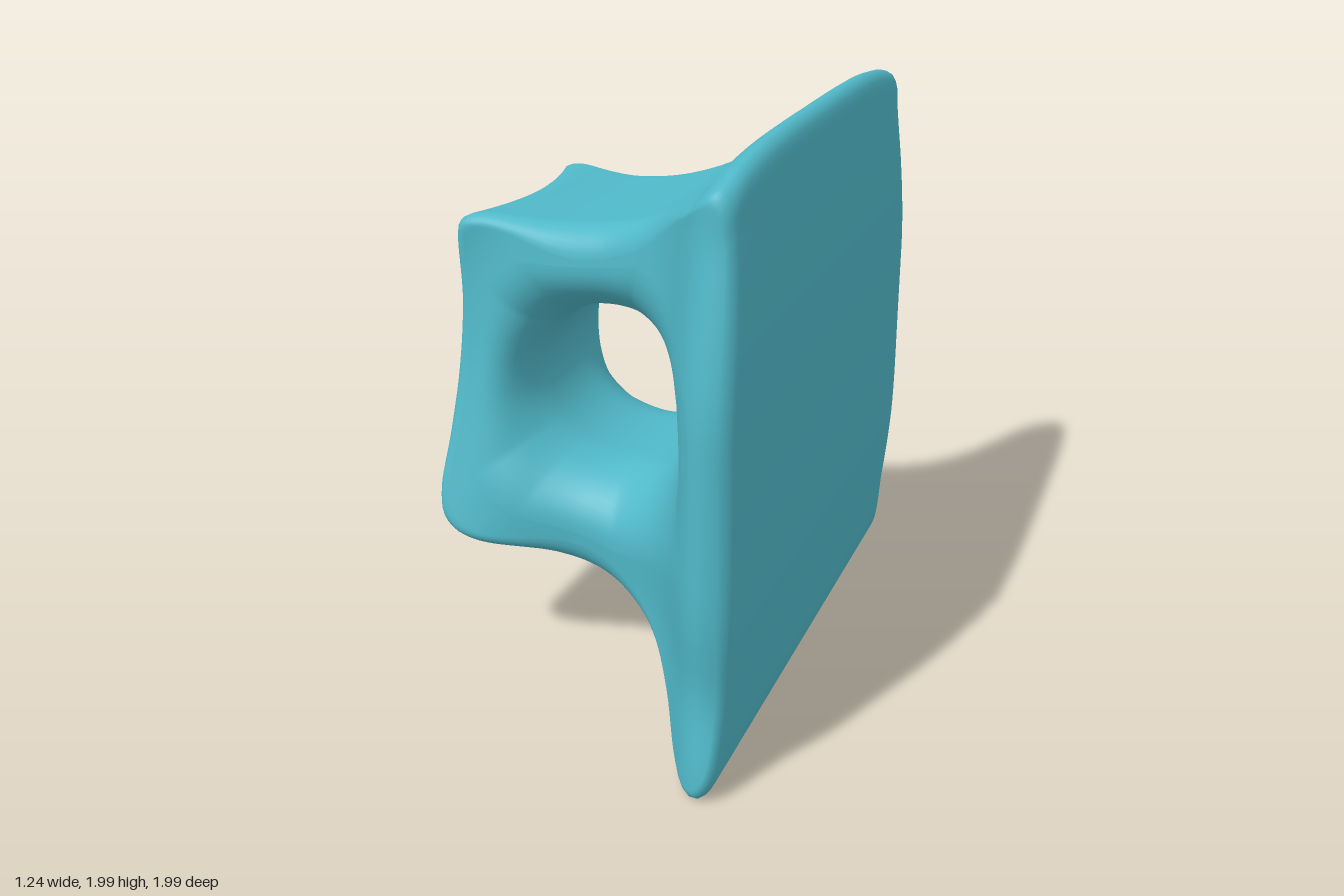
import * as THREE from 'three';

const { smoothstep, lerp, clamp } = THREE.MathUtils;

// Smooth lookup curve through [x, value] pairs
function profile(pairs) {
  const curve = new THREE.CubicInterpolant(
    new Float32Array(pairs.map(p => p[0])), new Float32Array(pairs.map(p => p[1])), 1, new Float32Array(1));
  return x => curve.evaluate(x)[0];
}
const bump = (v, centre, width) => Math.exp(-(((v - centre) / width) ** 2));

// Depth of the front and back faces along x, flaring out to the plate
const frontDepth = profile([[-0.62, 0.52], [-0.5, 0.5], [-0.3, 0.485], [-0.1, 0.48], [0.05, 0.5], [0.2, 0.58],
  [0.3, 0.7], [0.4, 0.87], [0.46, 0.96], [0.52, 1.0], [0.62, 0.98]]);
const backDepth = profile([[-0.62, 0.41], [-0.5, 0.4], [-0.35, 0.365], [-0.2, 0.355], [0, 0.39], [0.2, 0.51],
  [0.3, 0.66], [0.36, 0.79], [0.41, 0.9], [0.5, 0.985], [0.62, 0.975]]);

function frontZ(x, y) {
  const left = smoothstep(-x, 0.05, 0.55);
  const tilt = left * lerp(0.07, -0.07, smoothstep(y, 0.45, 1.6));
  return (frontDepth(x) + tilt) * (1 - 0.08 * smoothstep(y, 1.2, 1.9) - 0.035 * (1 - left) * bump(y, 0.35, 0.2));
}
function backZ(x, y) {
  return -backDepth(x) * (1 - 0.1 * smoothstep(y, 1.25, 1.85) - 0.04 * smoothstep(-y, -0.6, -0.2));
}

// Side outline, counter-clockwise seen from the front
const outline = new THREE.CatmullRomCurve3([
  [0.613, 1.0], [0.607, 1.5], [0.587, 1.85], [0.577, 1.96], [0.545, 1.99], [0.48, 1.955], [0.4, 1.87], [0.3, 1.775],
  [0.15, 1.685], [0, 1.635], [-0.2, 1.61], [-0.5, 1.61], [-0.55, 1.59], [-0.565, 1.53], [-0.56, 1.3],
  [-0.57, 1.05], [-0.585, 0.85], [-0.603, 0.65], [-0.58, 0.56], [-0.5, 0.5], [-0.2, 0.44],
  [0, 0.38], [0.2, 0.25], [0.33, 0.12], [0.42, 0.025], [0.51, 0.003], [0.565, 0.06], [0.595, 0.3], [0.613, 0.6],
].map(([x, y]) => new THREE.Vector3(x, y, 0)), true, 'centripetal');

const HOLE = { x: -0.02, y: 1.04, rx: 0.315, ry: 0.28 };

// Pull in the edges of the small end between its corners, and soften the plate's top corners
function pinch(x, y, z) {
  const zf = frontZ(x, y), zb = backZ(x, y);
  const u = clamp((2 * z - zf - zb) / (zf - zb) / 0.95, -1, 1);
  const v = clamp((y - 1.05) / 0.53, -1, 1);
  const sagZ = 1 - u * u, sagY = 1 - v * v;
  const end = smoothstep(-x, 0.3, 0.56);
  const back = u < 0 ? u * u : 0, front = u > 0 ? u * u : 0;
  return [
    x + end * (sagZ * (0.09 * smoothstep(y, 1.2, 1.6) - 0.035 * bump(y, 0.83, 0.17)) + back * (0.025 + 0.06 * sagY)),
    y + 0.14 * sagZ * smoothstep(-x, 0.1, 0.55) * smoothstep(-y, -0.75, -0.5)
      - 0.06 * u ** 4 * smoothstep(x, 0.2, 0.45) * smoothstep(y, 1.6, 1.95),
    z + end * (back * (0.12 * sagY + 0.04 * smoothstep(-y, -0.8, -0.5)) - front * 0.06 * sagY),
  ];
}

// One closed cross-section from the hole out to the outline and back
function section(p) {
  const angle = Math.atan2((p.y - HOLE.y) / HOLE.ry, (p.x - HOLE.x) / HOLE.rx);
  const hx = HOLE.x + HOLE.rx * Math.cos(angle), hy = HOLE.y + HOLE.ry * Math.sin(angle);
  const len = Math.hypot(p.x - hx, p.y - hy);
  // Wide dish around the hole, and rounding at the outline, softest along the waist
  const rim = Math.min(0.6 * len, 0.24), depth = 0.28;
  const waist = smoothstep(p.x, -0.5, -0.1) * (1 - smoothstep(p.x, 0.15, 0.45));
  const edge = 0.045 + 0.05 * waist + 0.02 * smoothstep(p.y, 1.8, 1.98);
  const arc = (n, f) => Array.from({ length: n }, (_, i) => f((i / n) * Math.PI / 2));
  const path = [
    ...arc(12, a => [rim * (1 - Math.cos(a)), depth * (1 - Math.sin(a))]),
    ...Array.from({ length: 18 }, (_, i) => [lerp(rim, len - edge, i / 18), 0]),
    ...arc(8, a => [len - edge * (1 - Math.sin(a)), edge * (1 - Math.cos(a))]),
    [len, edge],
  ];
  const face = (zAt, sign) => path.map(([d, drop]) => {
    const x = lerp(hx, p.x, d / len), y = lerp(hy, p.y, d / len);
    return [x, y, zAt(x, y) - sign * drop];
  });
  const front = face(frontZ, 1), back = face(backZ, -1).reverse();
  const bridge = (a, b, n) => Array.from({ length: n - 1 }, (_, i) =>
    a.map((q, k) => lerp(q, b[k], (i + 1) / n)));
  const loop = [
    ...front, ...bridge(front.at(-1), back[0], 20),
    ...back, ...bridge(back.at(-1), front[0], 10),
  ];
  return loop.map(q => pinch(...q));
}

export function createModel() {
  const group = new THREE.Group();
  const teal = new THREE.MeshStandardMaterial({ color: 0x50b8c8 });
  teal.name = 'teal';

  // Sweep the cross-section once around the hole
  const around = 220;
  const loops = outline.getSpacedPoints(around).slice(0, around).map(section);
  const m = loops[0].length, index = [];
  for (let i = 0; i < around; i++) {
    for (let j = 0; j < m; j++) {
      const i2 = (i + 1) % around, j2 = (j + 1) % m;
      const a = i * m + j, b = i * m + j2, c = i2 * m + j2, d = i2 * m + j;
      index.push(a, b, c, a, c, d);
    }
  }
  const geometry = new THREE.BufferGeometry();
  geometry.setAttribute('position', new THREE.Float32BufferAttribute(loops.flat(2), 3));
  geometry.setIndex(index);
  geometry.computeVertexNormals();

  const body = new THREE.Mesh(geometry, teal);
  body.name = 'flaredBlockWithHole';
  group.add(body);
  return group;
}
